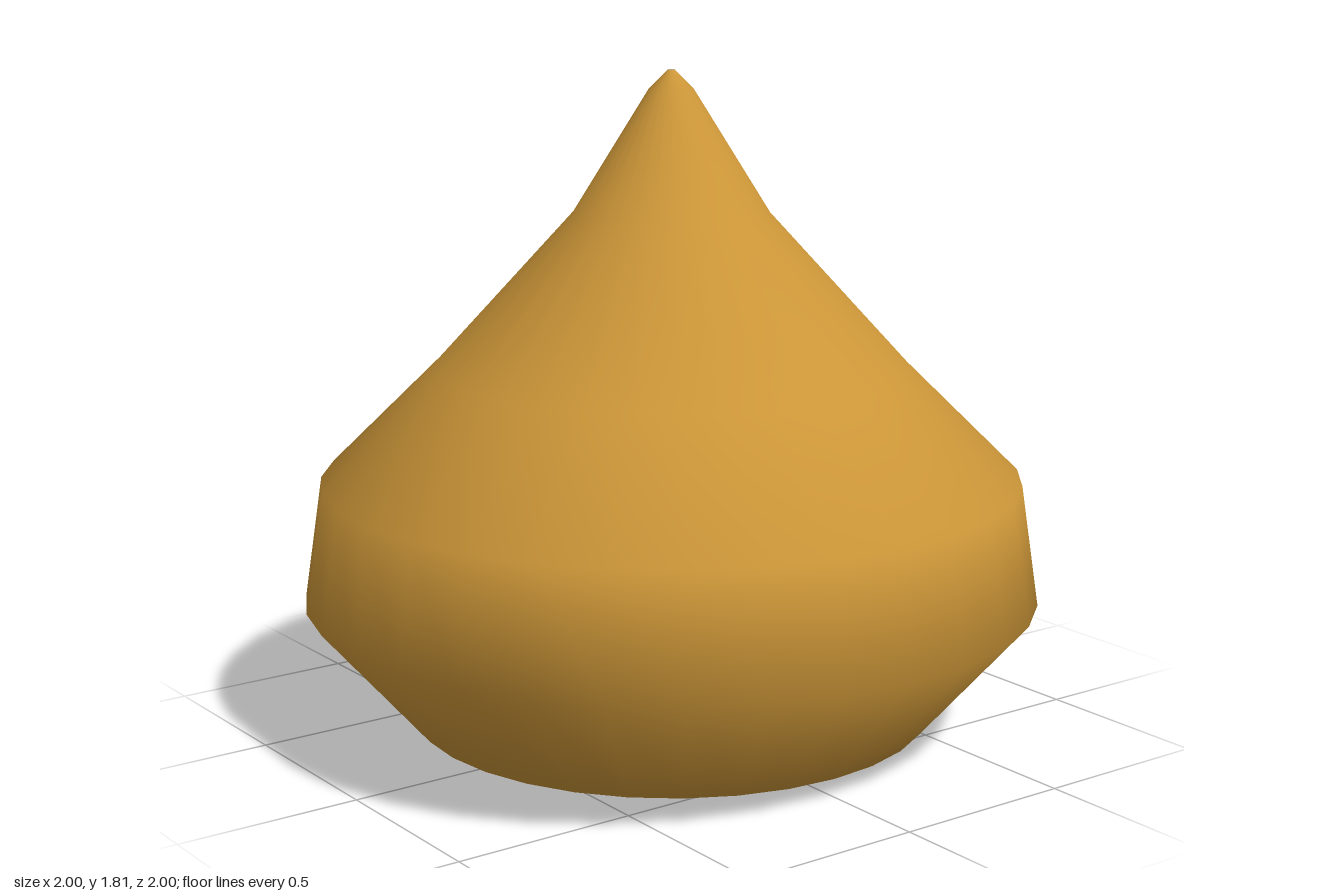
import * as THREE from 'three';

export function createModel() {
  const group = new THREE.Group();
  group.name = 'pointedDrop';

  // Profile from the shallow base, over the wide belly, to the narrow tip;
  // a pinhole stays open at both ends.
  const profile = [
    [0.01, 0], [0.71, 0.05], [1, 0.385], [0.95, 0.715],
    [0.64, 1.02], [0.265, 1.43], [0.06, 1.76], [0.01, 1.81],
  ].map(([r, y]) => new THREE.Vector2(r, y));

  const material = new THREE.MeshStandardMaterial({ color: 0xcc9638, side: THREE.DoubleSide });
  const body = new THREE.Mesh(new THREE.LatheGeometry(profile, 32), material);
  body.name = 'body';
  group.add(body);

  return group;
}
